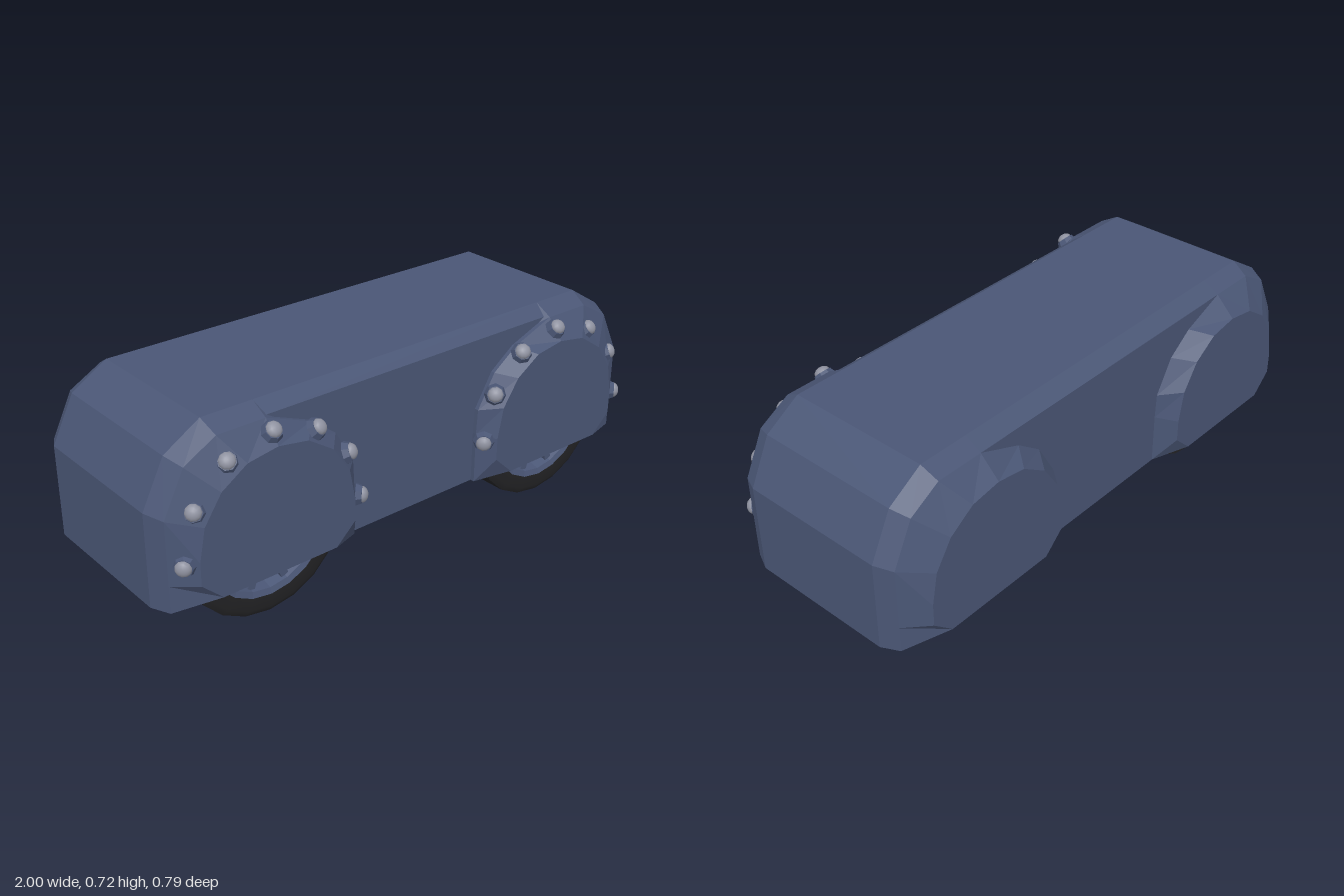
import * as THREE from 'three';

const hull = new THREE.MeshStandardMaterial({ color: 0x4a5675, side: THREE.DoubleSide, flatShading: true });
hull.name = 'slate blue';
const rubber = new THREE.MeshStandardMaterial({ color: 0x232325, side: THREE.DoubleSide });
rubber.name = 'tyre black';
const steel = new THREE.MeshStandardMaterial({ color: 0x8f92a0 });
steel.name = 'bolt grey';

const CX = 0.605; // wheel centre distance from the middle

function mesh(name, geometry, material) {
  const m = new THREE.Mesh(geometry, material);
  m.name = name;
  return m;
}

// Faceted surface from flat polygons; flip reverses the corner order
function polygons(faces, flip) {
  const pos = [];
  for (const f of faces) {
    for (let i = 1; i < f.length - 1; i++) {
      const tri = flip ? [f[0], f[i + 1], f[i]] : [f[0], f[i], f[i + 1]];
      for (const p of tri) pos.push(...p);
    }
  }
  const g = new THREE.BufferGeometry();
  g.setAttribute('position', new THREE.Float32BufferAttribute(pos, 3));
  g.computeVertexNormals();
  return g;
}

// Cross-sections of a wheel housing, inner bottom corner over the top to the outer one
const FACE = [[0.39, 0.18], [0.315, 0.25], [0.315, 0.33], [0.337, 0.441], [0.4, 0.535], [0.494, 0.597], [0.605, 0.615],
  [0.716, 0.597], [0.81, 0.535], [0.873, 0.441], [0.895, 0.33], [0.895, 0.25], [0.82, 0.18]];
const RIM = [[0.27, 0.155], [0.27, 0.25], [0.27, 0.34], [0.275, 0.43], [0.345, 0.55], [0.44, 0.62], [0.605, 0.685],
  [0.78, 0.685], [0.895, 0.62], [0.97, 0.47], [0.97, 0.34], [0.97, 0.25], [0.97, 0.155]];
const BASE = [...RIM.slice(0, 6), [0.605, 0.72],
  [0.79, 0.72], [0.92, 0.64], [1, 0.48], [1, 0.34], [1, 0.25], [1, 0.155]];

// Housing lofted from the body outline out to the flat cover
function housing(name, side, zBase, zRim, zFace) {
  const at = (ring, z) => ring.map(([x, y]) => [x * side, y, z]);
  const a = at(BASE, zBase), b = at(RIM, zRim), c = at(FACE, zFace);
  const faces = [c];
  for (let i = 0; i < c.length - 1; i++) {
    faces.push([b[i], b[i + 1], c[i + 1], c[i]], [a[i], a[i + 1], b[i + 1], b[i]]);
  }
  const n = c.length - 1;
  faces.push([b[n], b[0], c[0], c[n]]);
  return mesh(name, polygons(faces, side * zFace > 0), hull);
}

// Recessed wall between the housings, with its sloping top edge
function wall(name, zBase, z) {
  const half = RIM.slice(0, 7);
  const outline = [
    ...half.map(([x, y]) => [x, y, z]),
    ...half.slice().reverse().map(([x, y]) => [-x, y, z]),
  ];
  const slope = [[-CX, 0.685, z], [CX, 0.685, z], [CX, 0.72, zBase], [-CX, 0.72, zBase]];
  const g = new THREE.Group();
  g.name = name;
  g.add(mesh('wallPanel', polygons([outline], z < 0), hull));
  g.add(mesh('wallTopSlope', polygons([slope], z < 0), hull));
  return g;
}

// Roof and end panels, open underneath
function shell() {
  const line = [[-1, 0.155], [-1, 0.48], [-0.92, 0.64], [-0.79, 0.72], [0.79, 0.72], [0.92, 0.64], [1, 0.48], [1, 0.155]];
  const faces = [];
  for (let i = 0; i < line.length - 1; i++) {
    const [p, q] = [line[i], line[i + 1]];
    faces.push([[...p, 0.26], [...q, 0.26], [...q, -0.27], [...p, -0.27]]);
  }
  return mesh('bodyShell', polygons(faces), hull);
}

// Wide roller wheel with a spoked rim at the front
function wheel(side) {
  const g = new THREE.Group();
  g.name = side > 0 ? 'leftWheel' : 'rightWheel';
  const turn = (points) => {
    const geo = new THREE.LatheGeometry(points.map(([r, z]) => new THREE.Vector2(r, z)), 20);
    return geo.rotateX(Math.PI / 2);
  };
  g.add(mesh('tread', turn([[0.302, -0.27], [0.302, 0.312]]), rubber));
  g.add(mesh('tyreFront', turn([[0.302, 0.312], [0.28, 0.325], [0.235, 0.325]]), rubber));
  g.add(mesh('tyreBack', turn([[0, -0.27], [0.302, -0.27]]), rubber));
  g.add(mesh('rim', turn([[0.235, 0.325], [0.215, 0.318], [0.2, 0.27], [0, 0.27]]), hull));
  for (let i = 0; i < 10; i++) {
    const a = (i / 10) * Math.PI * 2;
    const spoke = mesh('spoke', new THREE.BoxGeometry(0.17, 0.028, 0.04), hull);
    spoke.position.set(Math.cos(a) * 0.135, Math.sin(a) * 0.135, 0.288);
    spoke.rotation.z = a;
    g.add(spoke);
  }
  const hub = mesh('hub', new THREE.CylinderGeometry(0.06, 0.07, 0.05, 12), hull);
  hub.rotation.x = Math.PI / 2;
  hub.position.z = 0.295;
  g.add(hub);
  g.position.set(CX * side, 0.302, 0);
  return g;
}

// Domed bolt on a bevelled washer, tilted out along the housing slope
function bolt(side, angle) {
  const g = new THREE.Group();
  g.name = 'bolt';
  const washer = mesh('washer', new THREE.CylinderGeometry(0.03, 0.038, 0.02, 8), hull);
  washer.position.y = 0.005;
  const dome = mesh('boltHead', new THREE.SphereGeometry(0.027, 10, 5, 0, Math.PI * 2, 0, Math.PI / 2), steel);
  dome.scale.y = 0.75;
  dome.position.y = 0.014;
  g.add(washer, dome);
  const cx = Math.cos(angle), sy = Math.sin(angle);
  g.position.set(CX * side + cx * 0.325, 0.32 + sy * 0.332, 0.354);
  const out = new THREE.Vector3(cx, sy, 1).normalize();
  g.quaternion.setFromUnitVectors(new THREE.Vector3(0, 1, 0), out);
  return g;
}

export function createModel() {
  const model = new THREE.Group();
  model.name = 'rollerBogie';
  model.add(shell(), wall('frontWall', 0.26, 0.31), wall('backWall', -0.27, -0.33));
  for (const side of [1, -1]) {
    const label = side > 0 ? 'Left' : 'Right';
    model.add(housing('front' + label + 'Housing', side, 0.26, 0.325, 0.385));
    model.add(housing('back' + label + 'Housing', side, -0.27, -0.33, -0.4));
    model.add(wheel(side));
    for (let i = 0; i < 7; i++) model.add(bolt(side, (i / 6) * Math.PI));
  }
  return model;
}
